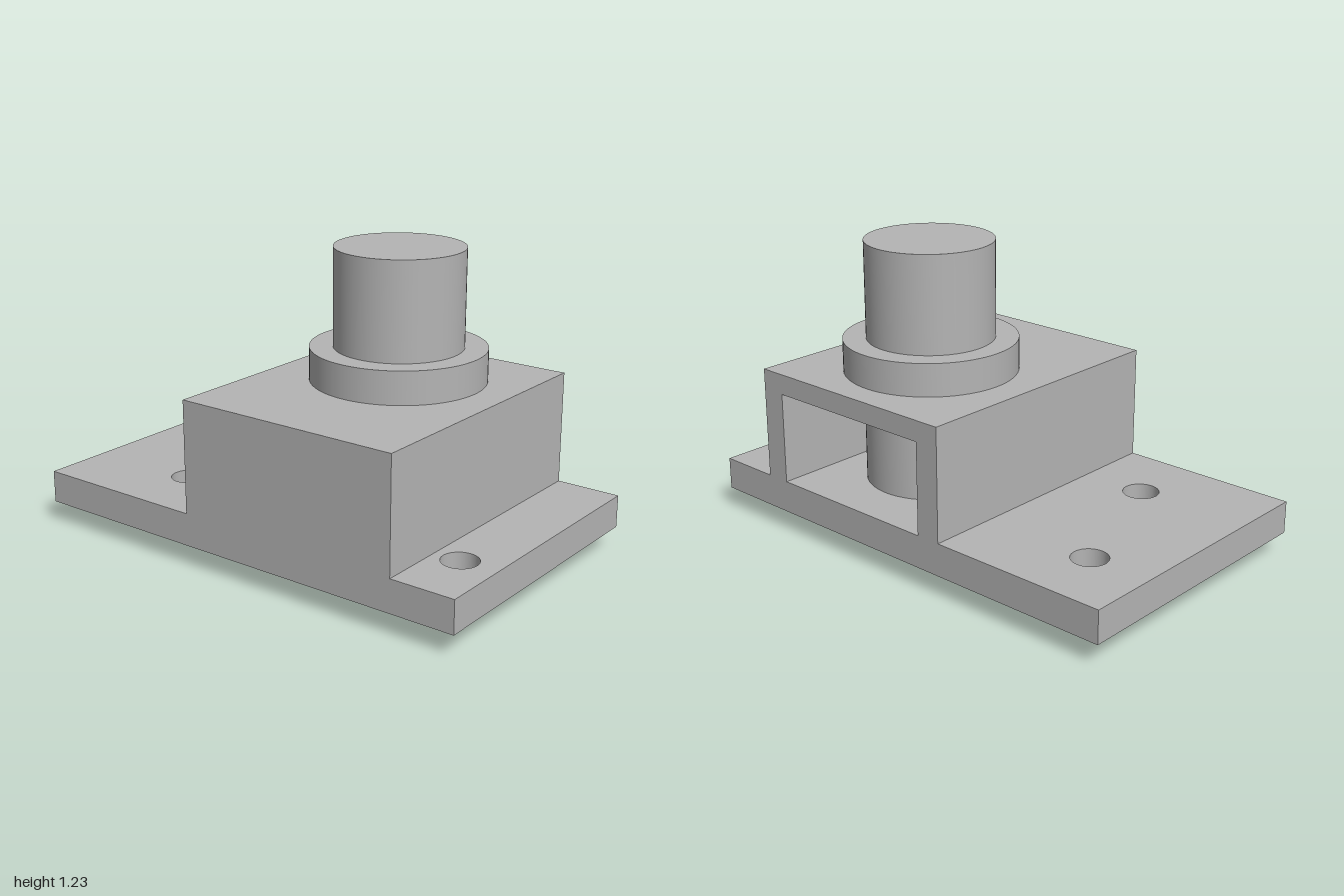
import * as THREE from 'three';

export function createModel() {
  const model = new THREE.Group();
  model.name = 'shaftHousing';
  const grey = new THREE.MeshStandardMaterial({ color: 0xb4b4b4 });
  grey.name = 'grey';

  const add = (name, geometry) => {
    const mesh = new THREE.Mesh(geometry, grey);
    mesh.name = name;
    model.add(mesh);
    return mesh;
  };

  const halfX = 0.6, halfZ = 1;
  const plateY = 0.09, ledgeY = 0.15, floorY = 0.225, roofY = 0.69;

  // Base plate: wide counterbores in the lower layer, narrow bolt holes above
  const bolts = [[0.31, -0.73], [-0.295, -0.51], [-0.318, 0.84]]; // x, z
  const plateLayer = (name, y0, y1, radius) => {
    const shape = new THREE.Shape([
      new THREE.Vector2(-halfX, -halfZ), new THREE.Vector2(halfX, -halfZ),
      new THREE.Vector2(halfX, halfZ), new THREE.Vector2(-halfX, halfZ),
    ]);
    for (const [x, z] of bolts) {
      shape.holes.push(new THREE.Path().absarc(x, -z, radius, 0, Math.PI * 2, true));
    }
    const geometry = new THREE.ExtrudeGeometry(shape, { depth: y1 - y0, bevelEnabled: false, curveSegments: 48 });
    add(name, geometry.rotateX(-Math.PI / 2).translate(0, y0, 0));
  };
  plateLayer('basePlateCounterbores', plateY, ledgeY, 0.135);
  plateLayer('basePlateBoltHoles', ledgeY, floorY, 0.073);

  // Housing: arch-shaped shell open on the +x side, closed by an end wall
  const outer = [-0.24, 0.73], inner = [-0.135, 0.625], ceilingY = 0.605;
  const wall = 0.1;
  const arch = new THREE.Shape([
    [-outer[1], floorY], [-inner[1], floorY], [-inner[1], ceilingY], [-inner[0], ceilingY],
    [-inner[0], floorY], [-outer[0], floorY], [-outer[0], roofY], [-outer[1], roofY],
  ].map(([a, b]) => new THREE.Vector2(a, b)));
  const shell = new THREE.ExtrudeGeometry(arch, { depth: 2 * halfX - wall, bevelEnabled: false });
  add('housingShell', shell.rotateY(Math.PI / 2).translate(-halfX + wall, 0, 0));
  add('housingEndWall', new THREE.BoxGeometry(wall, roofY - floorY, outer[1] - outer[0]))
    .position.set(-halfX + wall / 2, (roofY + floorY) / 2, (outer[0] + outer[1]) / 2);

  // Vertical shaft: stacked coaxial cylinders
  const sections = [
    ['bottomBoss', 0, plateY, 0.296],
    ['innerShaft', floorY, ceilingY, 0.273],
    ['collar', roofY, 0.825, 0.355],
    ['topShaft', 0.825, 1.225, 0.261],
  ];
  for (const [name, y0, y1, r] of sections) {
    add(name, new THREE.CylinderGeometry(r, r, y1 - y0, 72)).position.set(0.132, (y0 + y1) / 2, 0.243);
  }

  return model;
}
